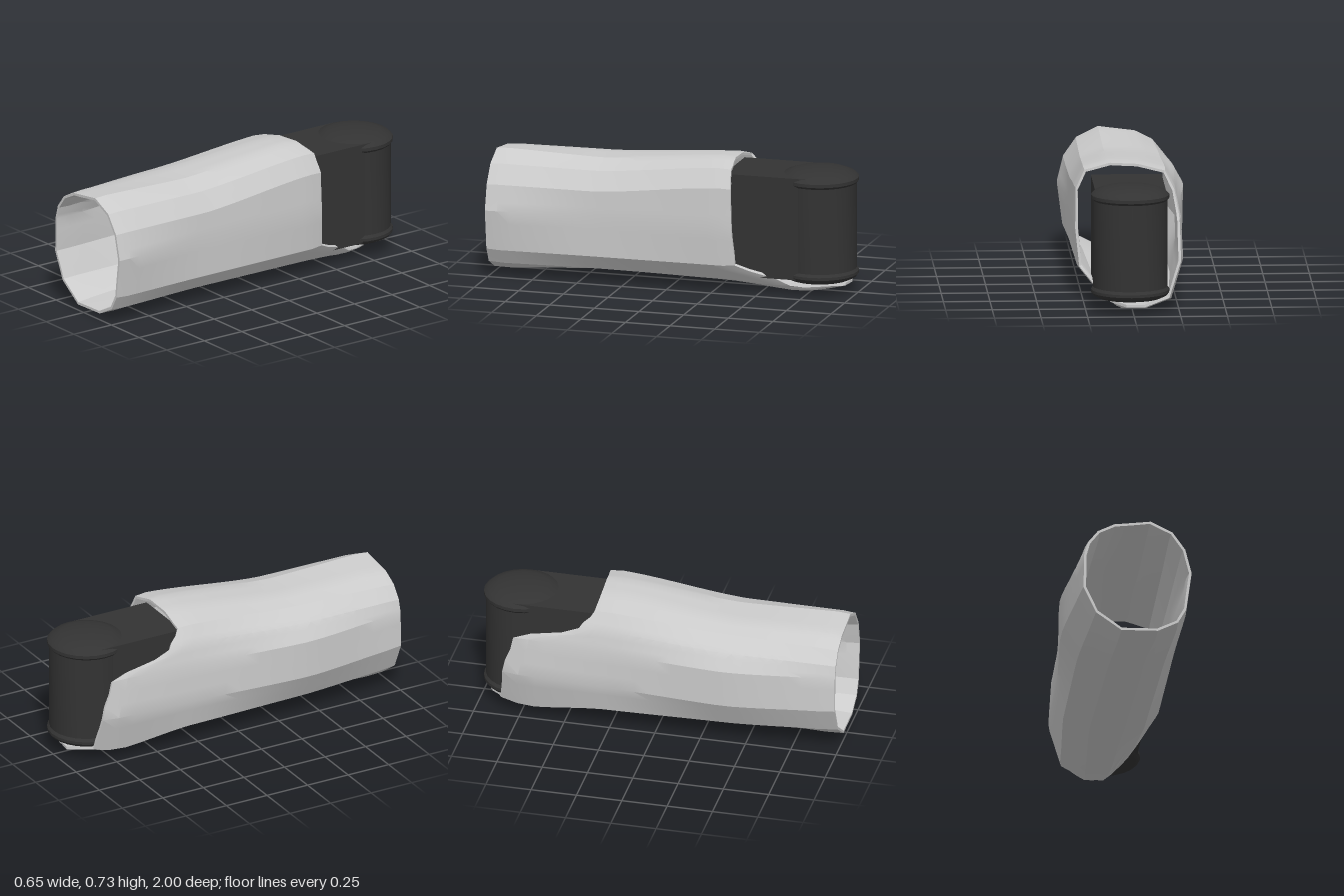
import * as THREE from 'three';
import { toCreasedNormals } from 'three/addons/utils/BufferGeometryUtils.js';

const grey = new THREE.MeshStandardMaterial({ color: 0xcccccc, side: THREE.DoubleSide });
const dark = new THREE.MeshStandardMaterial({ color: 0x333333 });

// Sleeve cross-sections: z and 14 corners (x, y), counterclockwise from the +x side
const sections = [
  { z: 1, p: [.325, .39, .29, .53, .22, .63, .1, .69, -.1, .665, -.19, .62, -.245, .55, -.265, .48, -.27, .28, -.2, .13, -.06, .03, .14, .035, .25, .09, .295, .17] },
  { z: .4, p: [.29, .4, .285, .53, .225, .63, .1, .675, -.1, .67, -.2, .64, -.28, .57, -.33, .48, -.325, .27, -.24, .12, -.08, .06, .1, .06, .22, .09, .28, .17] },
  { z: -.3, p: [.295, .38, .29, .6, .24, .7, .1, .735, -.05, .727, -.2, .69, -.25, .6, -.275, .48, -.28, .27, -.24, .11, -.1, .05, .08, .045, .2, .08, .275, .17] },
  { z: -.7, p: [.28, .38, .28, .6, .24, .7, .1, .735, -.05, .727, -.2, .68, -.24, .6, -.265, .5, -.278, .28, -.215, .06, -.08, .005, .06, .006, .14, .045, .25, .17] },
  { z: -.96, p: [.28, .38, .28, .6, .24, .7, .1, .735, -.05, .727, -.2, .68, -.22, .6, -.245, .49, -.255, .28, -.19, .09, -.06, .045, .04, .045, .12, .07, .25, .17] },
];
// Where each corner line ends at the back: a scoop, then side and bottom tongues
const ends = [-.375, -.37, -.36, -.345, -.34, -.345, -.42, -.78, -.84, -.86, -.95, -.94, -.66, -.39];
const N = ends.length, SUB = 3, ROWS = 20, WALL = .026;

// Outer point on a fractional corner line at depth z
function sleevePoint(col, z) {
  let k = 0;
  while (k < sections.length - 2 && z < sections[k + 1].z) k++;
  const a = sections[k], b = sections[k + 1];
  const t = (a.z - z) / (a.z - b.z), s = t * t * (3 - 2 * t);
  const j = Math.floor(col) % N, n = (j + 1) % N, f = col - Math.floor(col);
  const at = (sec, c) => THREE.MathUtils.lerp(sec.p[j * 2 + c], sec.p[n * 2 + c], f);
  const mix = c => THREE.MathUtils.lerp(at(a, c), at(b, c), (s + t) / 2);
  return new THREE.Vector3(mix(0), mix(1), z);
}

// Thick open sleeve: each column is a loop, out along the outside and back along the inside
function sleeveGeometry() {
  const pos = [], idx = [], cols = N * SUB, loop = 2 * (ROWS + 1);
  for (let c = 0; c < cols; c++) {
    const col = c / SUB, j = Math.floor(col), f = col - j;
    const ease = f * f * (3 - 2 * f);
    const end = THREE.MathUtils.lerp(ends[j], ends[(j + 1) % N], ease);
    for (let r = 0; r < loop; r++) {
      const inner = r > ROWS, row = inner ? loop - 1 - r : r;
      const p = sleevePoint(col, THREE.MathUtils.lerp(.995, end, row / ROWS));
      // Rims taper slightly
      const rim = row === 0 || row === ROWS ? .006 : 0;
      const inset = inner ? WALL - rim : rim;
      const d = new THREE.Vector3(-p.x, .37 - p.y, 0).normalize();
      p.addScaledVector(d, inset);
      pos.push(p.x, p.y, p.z);
      const c2 = (c + 1) % cols, r2 = (r + 1) % loop;
      const A = c * loop + r, B = c2 * loop + r, C = c * loop + r2, D = c2 * loop + r2;
      idx.push(A, C, B, B, C, D);
    }
  }
  const g = new THREE.BufferGeometry();
  g.setAttribute('position', new THREE.Float32BufferAttribute(pos, 3));
  g.setIndex(idx);
  return toCreasedNormals(g, .35);
}

function add(group, name, geometry, material, x = 0, y = 0, z = 0) {
  const mesh = new THREE.Mesh(geometry, material);
  mesh.name = name;
  mesh.position.set(x, y, z);
  group.add(mesh);
}

export function createModel() {
  const group = new THREE.Group();
  group.name = 'sleevedHinge';

  add(group, 'sleeve', sleeveGeometry(), grey);

  // Flat arm tucked into the sleeve
  add(group, 'arm', new THREE.BoxGeometry(.38, .56, .49), dark, .01, .38, -.555);

  // Upright barrel with flanged, domed caps
  const profile = [[0, .066], [.1, .07], [.17, .08], [.2, .095], [.211, .11], [.211, .125], [.2, .14],
    [.2, .61], [.211, .622], [.211, .64], [.19, .66], [.14, .678], [.07, .688], [0, .69]]
    .map(([x, y]) => new THREE.Vector2(x, y));
  add(group, 'barrel', toCreasedNormals(new THREE.LatheGeometry(profile, 24), .5), dark, .012, 0, -.789);

  return group;
}
